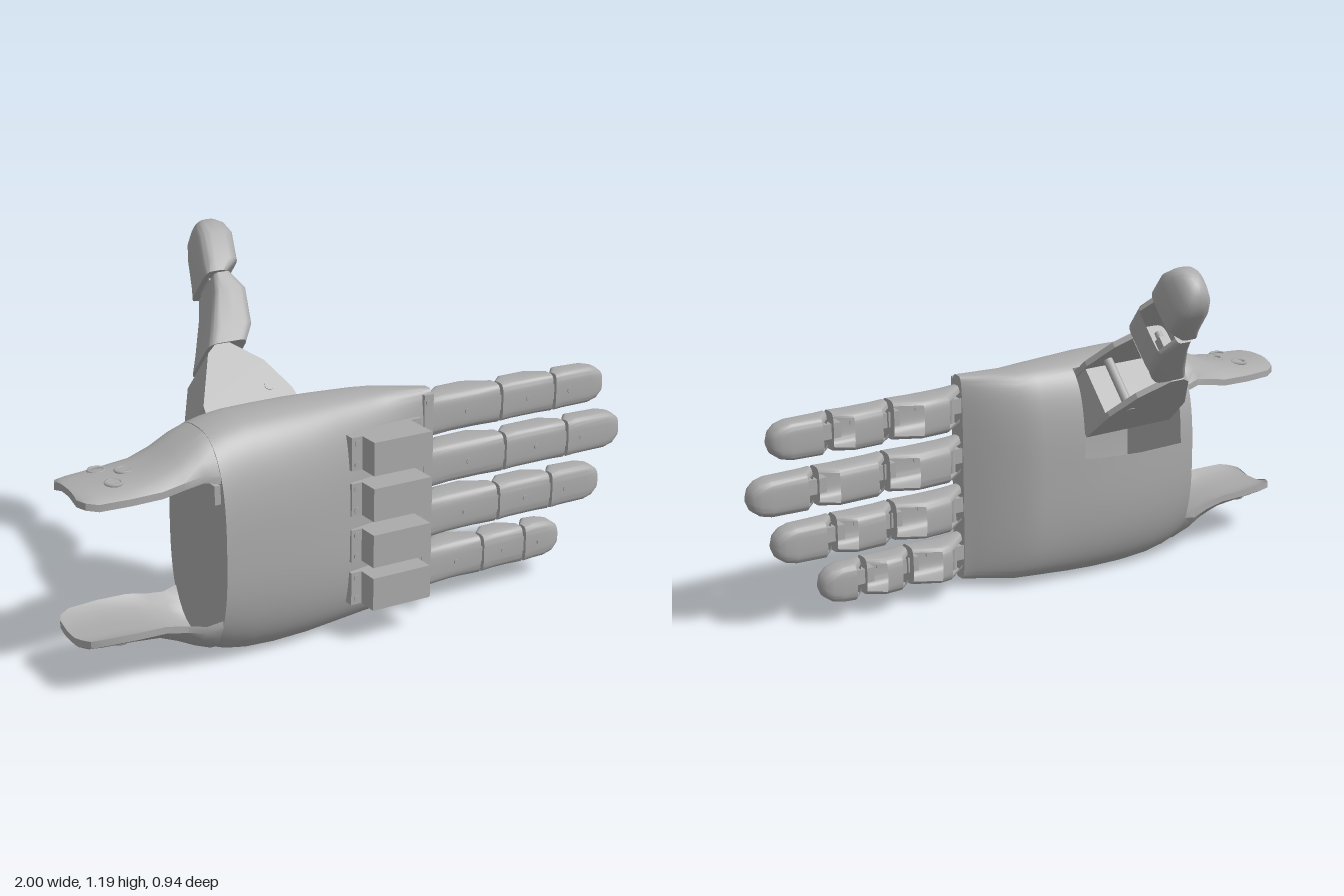
import * as THREE from 'three';
import { toCreasedNormals } from 'three/addons/utils/BufferGeometryUtils.js';

const grey = new THREE.MeshStandardMaterial({ color: 0xaaaaaa, side: THREE.DoubleSide });
grey.name = 'plastic grey';

function add(parent, geo, name, x = 0, y = 0, z = 0) {
  const mesh = new THREE.Mesh(geo, grey);
  mesh.name = name;
  mesh.position.set(x, y, z);
  parent.add(mesh);
  return mesh;
}

// Capped skin over rings of points; keep(ringIndex, faceCentre) can leave openings.
function loft(rings, keep = () => true) {
  const n = rings[0].length, pos = [], index = [];
  rings.forEach(r => r.forEach(p => pos.push(p.x, p.y, p.z)));
  for (let i = 0; i < rings.length - 1; i++) {
    for (let j = 0; j < n; j++) {
      const k = (j + 1) % n;
      const mid = new THREE.Vector3();
      [rings[i][j], rings[i][k], rings[i + 1][j], rings[i + 1][k]].forEach(p => mid.addScaledVector(p, 0.25));
      if (!keep(i, mid)) continue;
      const a = i * n + j, b = i * n + k;
      index.push(a, b, a + n, b, b + n, a + n);
    }
  }
  [0, rings.length - 1].forEach((r, end) => {
    const c = new THREE.Vector3();
    rings[r].forEach(p => c.addScaledVector(p, 1 / n));
    const id = pos.length / 3;
    pos.push(c.x, c.y, c.z);
    for (let j = 0; j < n; j++) {
      const a = r * n + j, b = r * n + (j + 1) % n;
      if (end) index.push(id, a, b); else index.push(id, b, a);
    }
  });
  const geo = new THREE.BufferGeometry();
  geo.setAttribute('position', new THREE.Float32BufferAttribute(pos, 3));
  geo.setIndex(index);
  return toCreasedNormals(geo, 0.6);
}

// Rounded cross-section at x, filling y0..y1 and z0..z1; a higher power is squarer.
function ring(x, y0, y1, z0, z1, power = 4, count = 40) {
  const f = t => Math.sign(t) * Math.abs(t) ** (2 / power);
  return Array.from({ length: count }, (_, i) => {
    const t = i / count * Math.PI * 2;
    return new THREE.Vector3(x, (y0 + y1) / 2 + f(Math.cos(t)) * (y1 - y0) / 2,
      (z0 + z1) / 2 + f(Math.sin(t)) * (z1 - z0) / 2);
  });
}

// Finger link from stations [x, z0, z1, halfWidth, power]; pockets open on the low-z side.
function link(parent, name, y, stations, pockets) {
  const rings = stations.map(([x, z0, z1, w, p = 4]) => ring(x, y - w, y + w, z0, z1, p));
  const keep = (i, m) => {
    const s = stations[i];
    return !(pockets.includes(i) && m.z < (s[1] + stations[i + 1][1]) / 2 + 0.02 && Math.abs(m.y - y) < s[3] * 0.72);
  };
  return add(parent, loft(rings, keep), name);
}

function pinAlongY(parent, x, y, z, length) {
  add(parent, new THREE.CylinderGeometry(0.012, 0.012, length, 12), 'hingePin', x, y, z);
}

function screw(parent, x, y, z, r = 0.009) {
  add(parent, new THREE.CylinderGeometry(r, r, 0.008, 10).rotateX(Math.PI / 2), 'screw', x, y, z);
}

function makeFinger(y, cuts) {
  const g = new THREE.Group();
  g.name = 'finger';
  const [a, b, c, d] = cuts, back = 0.326;
  link(g, 'proximalLink', y, [[a, 0.275, back, 0.066], [a + 0.08, 0.205, back, 0.067],
    [b - 0.09, 0.2, back, 0.067], [b - 0.006, 0.25, back, 0.066]], [0, 2]);
  link(g, 'middleLink', y, [[b + 0.006, 0.265, back, 0.064], [b + 0.05, 0.22, back, 0.065],
    [c - 0.06, 0.218, back, 0.065], [c - 0.006, 0.26, back, 0.064]], [0, 2]);
  link(g, 'fingertip', y, [[c + 0.006, 0.28, back, 0.062], [c + 0.045, 0.232, back, 0.064],
    [d - 0.07, 0.238, back, 0.063], [d - 0.035, 0.244, 0.323, 0.055, 3.5],
    [d - 0.012, 0.254, 0.315, 0.038, 3], [d, 0.272, 0.3, 0.014, 2.5]], [0]);
  // hinge tongues and pins between the links
  [a, b, c].forEach(x => {
    add(g, new THREE.BoxGeometry(0.08, 0.05, 0.04), 'hingeTongue', x, y, 0.295);
    pinAlongY(g, x + 0.03, y, 0.285, 0.11);
  });
  [(a + b) / 2, (b + c) / 2, c + 0.06].forEach(x => screw(g, x, y, back));
  return g;
}

function makePalm(g) {
  // x, y0, y1, z0, z1, power
  const sections = [[-0.57, 0.04, 0.745, 0.06, 0.44, 2.6], [-0.52, 0.02, 0.758, 0.06, 0.438, 2.6],
    [-0.45, 0.006, 0.767, 0.06, 0.436, 2.6], [-0.35, 0, 0.769, 0.062, 0.432, 2.6],
    [-0.23, 0.003, 0.768, 0.07, 0.42, 2.7], [-0.14, 0.009, 0.765, 0.084, 0.402, 2.8],
    [0.0, 0.02, 0.76, 0.115, 0.373, 3], [0.07, 0.025, 0.755, 0.135, 0.36, 3.2],
    [0.19, 0.032, 0.75, 0.242, 0.34, 4], [0.222, 0.034, 0.748, 0.27, 0.336, 5]];
  // hollow shell with a window where the thumb enters
  const keep = (i, m) => !(m.x > -0.52 && m.x < -0.14 && m.z < 0.16 && m.y > 0.44);
  add(g, loft(sections.map(s => ring(...s, 80)), keep), 'palmShell');

  // knuckle strip and its screws
  add(g, new THREE.BoxGeometry(0.034, 0.69, 0.012), 'knuckleStrip', 0.204, 0.39, 0.336);
  [0.07, 0.22, 0.39, 0.56, 0.71].forEach(y => screw(g, 0.2, y, 0.343));
  add(g, new THREE.BoxGeometry(0.02, 0.06, 0.05), 'wristTab', -0.58, 0.575, 0.38);
}

// Arched wrist strap: x, crown height, sag at the edges, z0, z1
function makeStrap(g, top) {
  const stations = [[-1, 0.636, 0.035, 0.175, 0.335], [-0.985, 0.638, 0.04, 0.145, 0.365],
    [-0.95, 0.64, 0.048, 0.125, 0.382], [-0.85, 0.645, 0.052, 0.112, 0.39], [-0.75, 0.66, 0.065, 0.113, 0.39],
    [-0.68, 0.691, 0.082, 0.113, 0.392], [-0.62, 0.722, 0.1, 0.1, 0.4], [-0.57, 0.742, 0.13, 0.092, 0.408],
    [-0.54, 0.735, 0.13, 0.1, 0.4]];
  const flip = y => top ? y : 0.778 - y;
  const rings = stations.map(([x, crown, sag, z0, z1]) => {
    const out = [], n = 14;
    for (const drop of [0, 0.022]) {
      for (let i = 0; i <= n; i++) {
        const v = (drop ? n - i : i) / n * 2 - 1;
        out.push(new THREE.Vector3(x, flip(crown - drop - (sag - 0.02) * Math.abs(v) ** 3.2),
          (z0 + z1) / 2 + v * (z1 - z0) / 2));
      }
    }
    return out;
  });
  add(g, loft(rings), top ? 'upperWristStrap' : 'lowerWristStrap');
  // strap eyelets
  [[-0.87, 0.19, 0.64], [-0.81, 0.25, 0.649], [-0.87, 0.31, 0.64]].forEach(([x, z, y]) =>
    add(g, new THREE.TorusGeometry(0.024, 0.006, 6, 16).rotateX(Math.PI / 2), 'eyelet', x, flip(y), z));
}

function makeServo(y) {
  const g = new THREE.Group();
  g.name = 'servo';
  add(g, new THREE.BoxGeometry(0.208, 0.108, 0.155), 'servoBody', 0.024, y, 0.3975);
  // mounting ears, the front one nearly flush with the palm
  [[-0.097, 0.405], [0.148, 0.354]].forEach(([x, z]) => {
    add(g, new THREE.BoxGeometry(0.04, 0.108, 0.04), 'servoEar', x, y, z - 0.02);
    [-0.035, 0.035].forEach(dy => screw(g, x, y + dy, z, 0.011));
  });
  return g;
}

function makeThumb() {
  const g = new THREE.Group();
  g.name = 'thumb';
  const S = new THREE.Vector3(0, 0.68, -0.73).normalize();
  const X = new THREE.Vector3(1, 0, 0);
  const L = new THREE.Vector3().crossVectors(X, S);

  // base bracket: two side plates joined by a back wall, drawn in x and thumb length
  const base = new THREE.Group();
  base.name = 'thumbBase';
  base.applyMatrix4(new THREE.Matrix4().makeBasis(X, S, L));
  base.position.copy(L).multiplyScalar(0.553);
  const plate = [[-0.5, 0.28], [-0.49, 0.41], [-0.405, 0.585], [-0.37, 0.612], [-0.32, 0.612], [-0.23, 0.53],
    [-0.175, 0.42], [-0.155, 0.28]];
  const slab = (pts, depth, z, name) => add(base, new THREE.ExtrudeGeometry(
    new THREE.Shape(pts.map(p => new THREE.Vector2(...p))), { depth, bevelEnabled: false }), name, 0, 0, z);
  slab(plate, 0.02, 0.086, 'thumbSidePlate');
  slab(plate, 0.02, -0.106, 'thumbSidePlate');
  slab([[-0.5, 0.28], [-0.49, 0.41], [-0.405, 0.585], [-0.37, 0.612], [-0.35, 0.6], [-0.385, 0.57],
    [-0.465, 0.4], [-0.475, 0.28]], 0.2, -0.1, 'thumbBackWall');
  slab([[-0.47, 0.4], [-0.18, 0.4], [-0.16, 0.28], [-0.47, 0.28]], 0.18, -0.09, 'thumbFloor');
  add(base, new THREE.CylinderGeometry(0.016, 0.016, 0.216, 12).rotateX(Math.PI / 2), 'hingePin', -0.25, 0.44, 0);
  g.add(base);

  // moving links, built along the thumb axis
  const links = new THREE.Group();
  links.name = 'thumbLinks';
  links.applyMatrix4(new THREE.Matrix4().makeBasis(S, L.clone().negate(), X.clone().negate()));
  links.position.copy(L).multiplyScalar(0.55);
  link(links, 'thumbMiddleLink', 0, [[0.618, 0.245, 0.385, 0.102, 6], [0.68, 0.2, 0.352, 0.1, 6],
    [0.81, 0.168, 0.288, 0.095, 6], [0.876, 0.2, 0.262, 0.091, 6]], [0, 2]);
  link(links, 'thumbTip', 0, [[0.884, 0.205, 0.284, 0.088, 5], [0.925, 0.145, 0.276, 0.088],
    [1.03, 0.12, 0.25, 0.085], [1.075, 0.128, 0.236, 0.073, 3.5], [1.103, 0.145, 0.218, 0.05, 3],
    [1.117, 0.168, 0.198, 0.02, 2.5]], [0]);
  [[0.6, 0.34], [0.88, 0.245]].forEach(([s, v]) => {
    add(links, new THREE.BoxGeometry(0.1, 0.09, 0.035), 'hingeTongue', s, 0, v);
    pinAlongY(links, s + 0.03, 0, v, 0.14);
  });
  g.add(links);
  return g;
}

export function createModel() {
  const hand = new THREE.Group();
  hand.name = 'mechanicalHand';
  makePalm(hand);
  makeStrap(hand, true);
  makeStrap(hand, false);
  [0.615, 0.465, 0.312, 0.168].forEach(y => hand.add(makeServo(y)));
  // finger heights with link start, two joints and tip
  [[0.65, [0.228, 0.495, 0.707, 0.922]], [0.477, [0.228, 0.515, 0.765, 1]],
    [0.305, [0.228, 0.495, 0.707, 0.922]], [0.135, [0.228, 0.437, 0.605, 0.762]]]
    .forEach(([y, cuts]) => hand.add(makeFinger(y, cuts)));
  hand.add(makeThumb());
  return hand;
}
